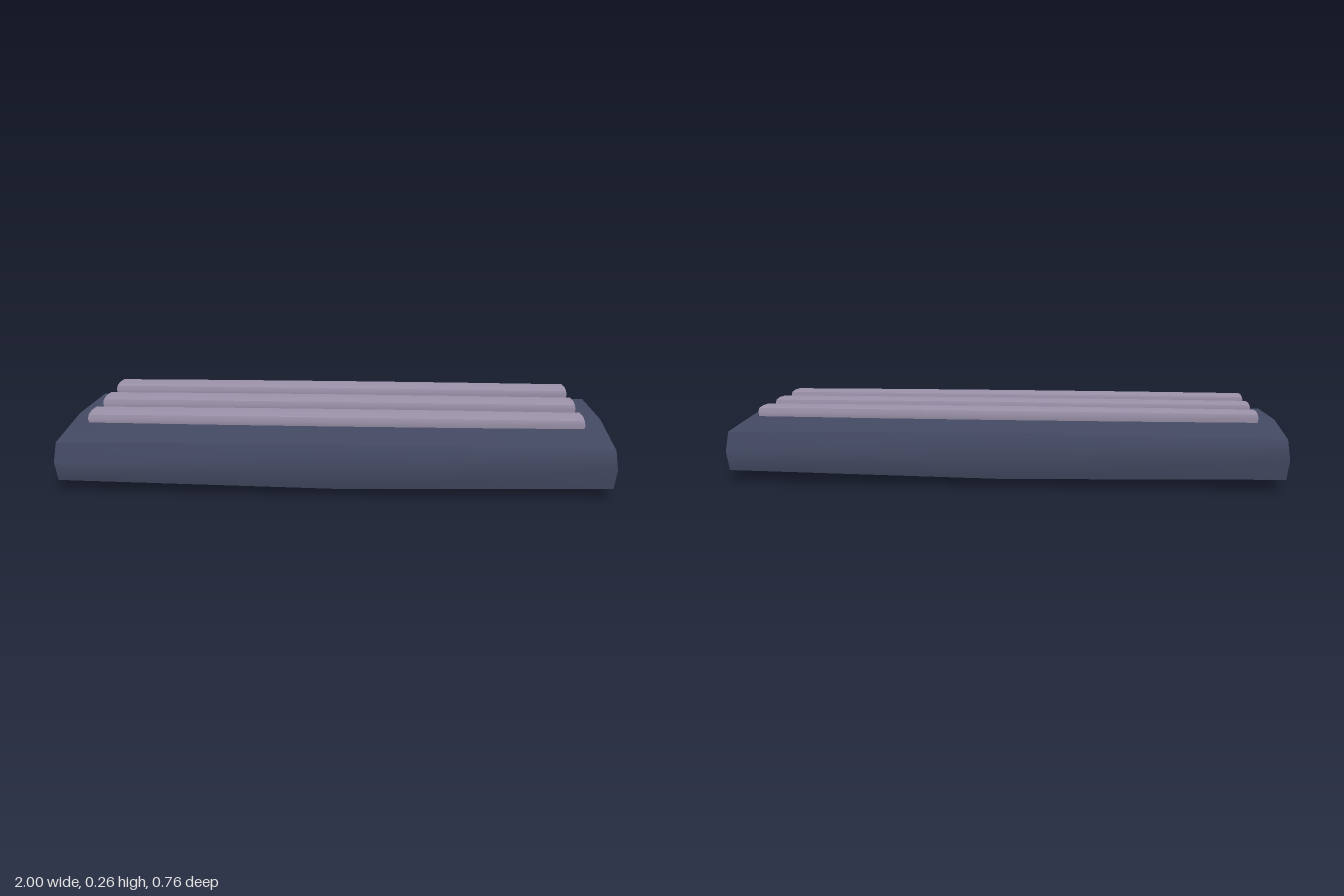
import * as THREE from 'three';

// Box whose faces swell toward their middles; each face is smooth, box edges stay sharp.
// edge: half size at the corners, bulge: extra half size at the middle of each face,
// lift: extra half size at the middle of each box edge.
function pillowBox(edge, bulge, lift, segX) {
  const geo = new THREE.BoxGeometry(2, 2, 2, segX, 2, 2);
  const pos = geo.attributes.position;
  for (let i = 0; i < pos.count; i++) {
    const p = [pos.getX(i), pos.getY(i), pos.getZ(i)];
    const inner = p.map((v) => 1 - v * v);
    const q = p.map((v, a) => {
      const u = inner[(a + 1) % 3];
      const w = inner[(a + 2) % 3];
      const grow = lift[a] * (u + w - 2 * u * w) + bulge[a] * u * w;
      return v * (edge[a] + grow);
    });
    pos.setXYZ(i, ...q);
  }
  geo.computeVertexNormals();
  return geo;
}

export function createModel() {
  const model = new THREE.Group();
  model.name = 'slattedBlock';
  const slate = new THREE.MeshStandardMaterial({ name: 'darkSlate', color: 0x444a63 });
  const mauve = new THREE.MeshStandardMaterial({ name: 'paleMauve', color: 0x9d93ab });

  // Thick slab
  const slab = new THREE.Mesh(
    pillowBox([0.963, 0.069, 0.338], [0.037, 0.0435, 0.04], [0.008, 0.012, 0.012], 2), slate);
  slab.name = 'slab';
  slab.position.y = 0.1125;
  model.add(slab);

  // Three long slats across the top
  const slatGeo = pillowBox([0.868, 0.0145, 0.054], [0.01, 0.006, 0.006], [0.003, 0.002, 0.002], 4);
  [0.19, -0.018, -0.225].forEach((z, i) => {
    const slat = new THREE.Mesh(slatGeo, mauve);
    slat.name = `slat${i + 1}`;
    slat.position.set(0, 0.242, z);
    model.add(slat);
  });
  return model;
}
